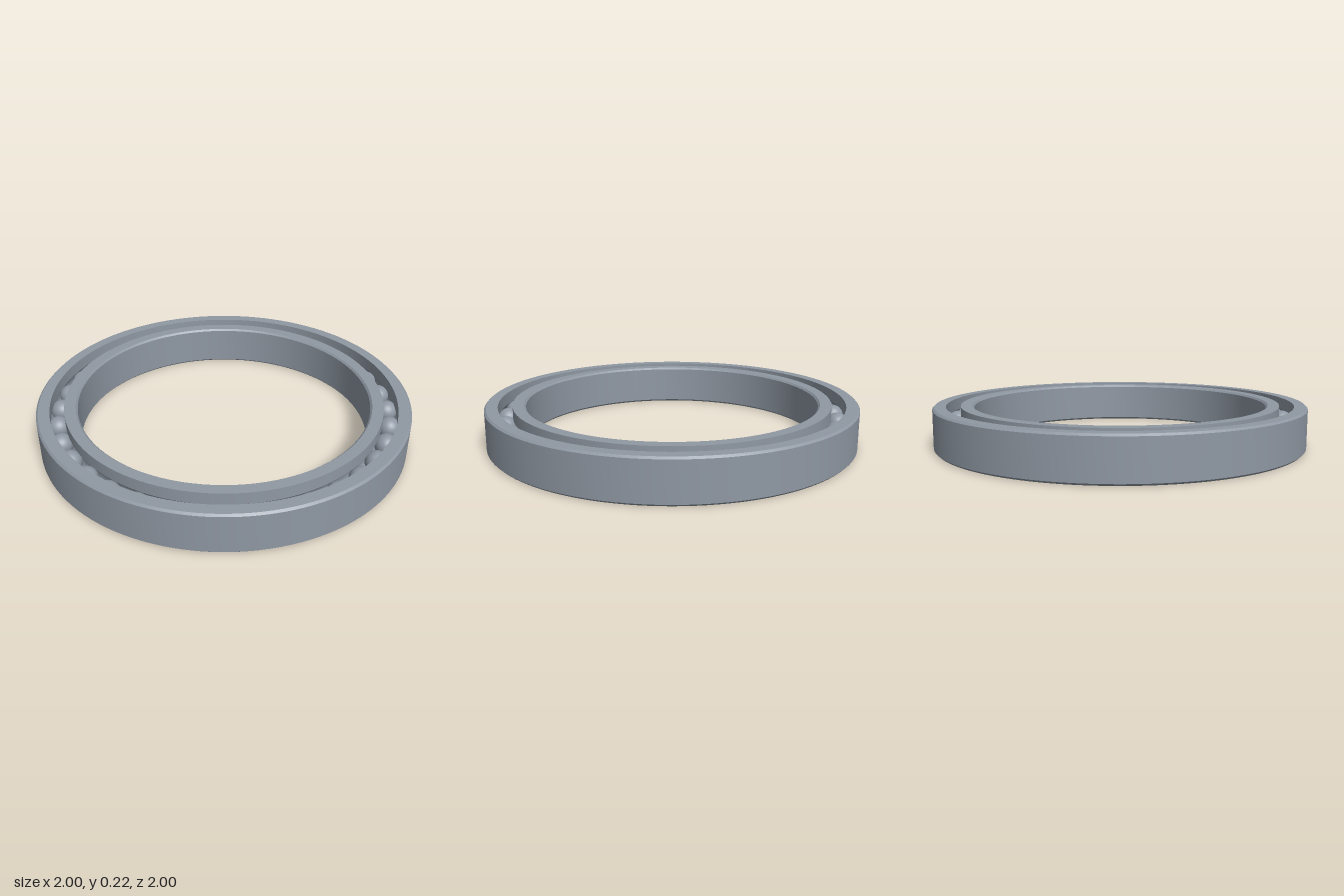
import * as THREE from 'three';
import { toCreasedNormals } from 'three/addons/utils/BufferGeometryUtils.js';

const HEIGHT = 0.222, MID = HEIGHT / 2, CHAMFER = 0.01;
const OUTER = 1, BORE = 0.785, PITCH = (OUTER + BORE) / 2;
const GAP = 0.0375;        // half the gap between the two rings
const GROOVE = 0.06;       // raceway radius
const BALL = 0.059, BALLS = 34, PHASE = 0.0235;

// Arc of the raceway groove, as (radius, height) points
function groove(from, to, steps = 12) {
  return Array.from({ length: steps + 1 }, (_, i) => {
    const a = from + (to - from) * i / steps;
    return [PITCH + GROOVE * Math.cos(a), MID + GROOVE * Math.sin(a)];
  });
}

// Revolves a closed profile, keeping its corners sharp
function ring(name, profile, material) {
  const points = [...profile, profile[0]].map(([r, y]) => new THREE.Vector2(r, y));
  const geometry = toCreasedNormals(new THREE.LatheGeometry(points, 128), Math.PI / 6);
  const mesh = new THREE.Mesh(geometry, material);
  mesh.name = name;
  return mesh;
}

export function createModel() {
  const model = new THREE.Group();
  model.name = 'ballBearing';
  const steel = new THREE.MeshStandardMaterial({ color: 0x8f98a3 });
  steel.name = 'steel';
  const half = Math.acos(GAP / GROOVE);

  // Outer ring: chamfered outside, raceway inside
  model.add(ring('outerRing', [
    [PITCH + GAP, 0], [OUTER - CHAMFER, 0], [OUTER, CHAMFER],
    [OUTER, HEIGHT - CHAMFER], [OUTER - CHAMFER, HEIGHT], [PITCH + GAP, HEIGHT],
    ...groove(half, -half),
  ], steel));

  // Inner ring: chamfered bore, raceway outside
  model.add(ring('innerRing', [
    [PITCH - GAP, 0], ...groove(Math.PI + half, Math.PI - half), [PITCH - GAP, HEIGHT],
    [BORE + CHAMFER, HEIGHT], [BORE, HEIGHT - CHAMFER], [BORE, CHAMFER], [BORE + CHAMFER, 0],
  ], steel));

  // Balls spaced evenly around the raceway
  const balls = new THREE.Group();
  balls.name = 'balls';
  const sphere = new THREE.SphereGeometry(BALL, 32, 20);
  for (let i = 0; i < BALLS; i++) {
    const a = PHASE + i * 2 * Math.PI / BALLS;
    const ball = new THREE.Mesh(sphere, steel);
    ball.name = 'ball';
    ball.position.set(PITCH * Math.cos(a), MID, PITCH * Math.sin(a));
    balls.add(ball);
  }
  model.add(balls);
  return model;
}
